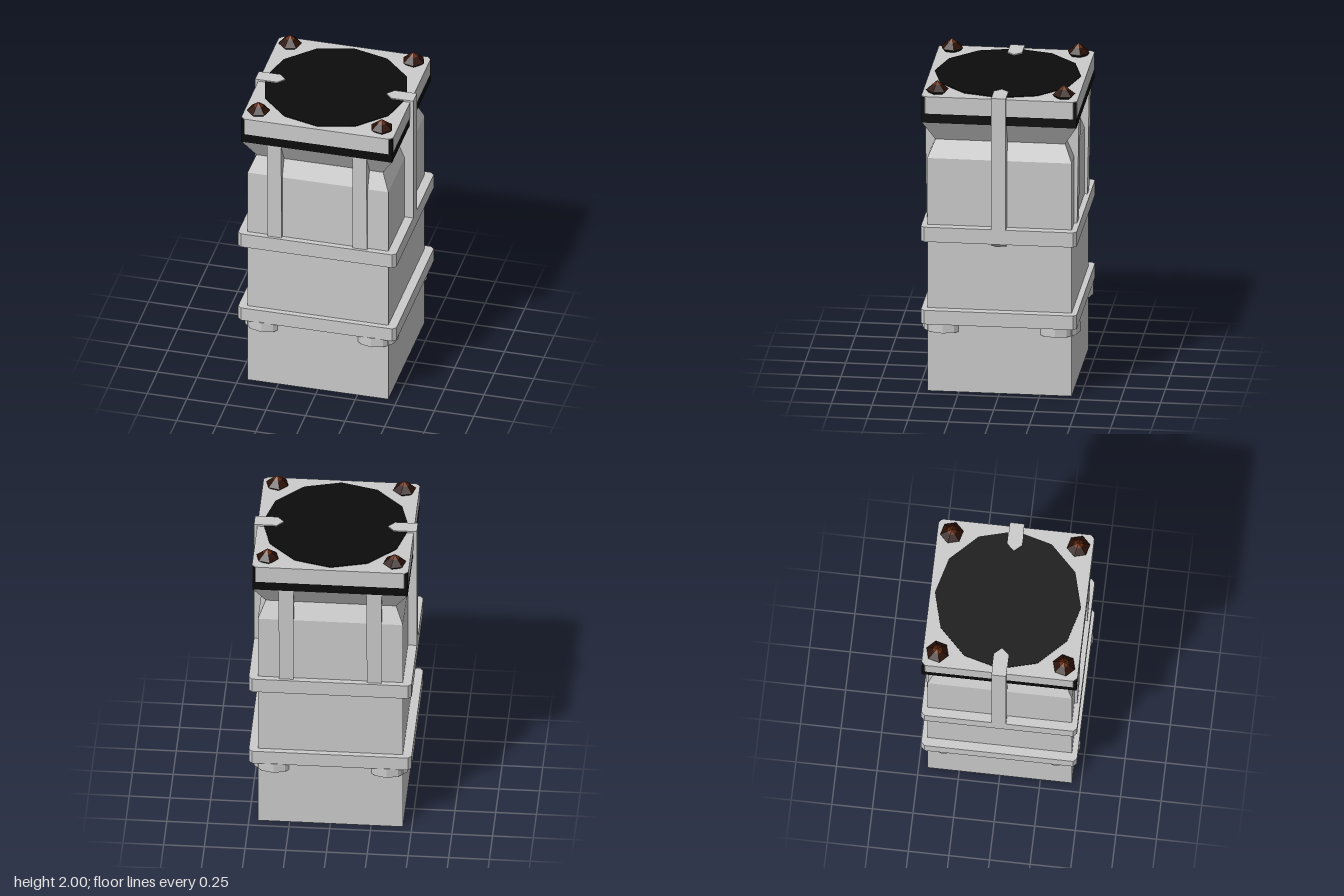
import * as THREE from 'three';

const mat = (color) => new THREE.MeshStandardMaterial({ color, flatShading: true });

export function createModel() {
  const group = new THREE.Group();
  const grey = mat(0xcccccc), black = mat(0x0c0c0c), brown = mat(0x2a1006), amber = mat(0x6a2c0c);

  const add = (name, geometry, material = grey, x = 0, y = 0, z = 0) => {
    const flat = geometry.index ? geometry.toNonIndexed() : geometry;
    flat.computeVertexNormals();
    const mesh = new THREE.Mesh(flat, material);
    mesh.name = name;
    mesh.position.set(x, y, z);
    group.add(mesh);
    return mesh;
  };
  const shapeOf = (points) => new THREE.Shape(points.map(([x, y]) => new THREE.Vector2(x, y)));
  const extrude = (points, depth) =>
    new THREE.ExtrudeGeometry(shapeOf(points), { depth, bevelEnabled: false });

  // Horizontal slab with chamfered corners, from y0 to y1
  const slab = (name, hx, hz, c, y0, y1) => {
    const g = extrude([
      [-hx + c, -hz], [hx - c, -hz], [hx, -hz + c], [hx, hz - c],
      [hx - c, hz], [-hx + c, hz], [-hx, hz - c], [-hx, -hz + c],
    ], y1 - y0);
    g.rotateX(-Math.PI / 2);
    return add(name, g, grey, 0, y0);
  };

  // Square hollow-bottomed body with a pinched neck and flared collar
  const profile = [[0, 0.39], [0.443, 0.39], [0.443, 0], [0.445, 0], [0.445, 1.51],
    [0.4, 1.62], [0.475, 1.75], [0, 1.75]]
    .map(([half, y]) => new THREE.Vector2(half * Math.SQRT2, y));
  add('body', new THREE.LatheGeometry(profile, 4, Math.PI / 4));

  // Two bands around the body
  slab('lowerBand', 0.5, 0.48, 0.022, 0.45, 0.54);
  slab('upperBand', 0.5, 0.48, 0.022, 0.985, 1.08);

  // Lid: black core, grey chamfered rim and black round cover
  add('lidCore', new THREE.BoxGeometry(0.954, 0.165, 0.954), black, 0, 1.8325, 0);
  slab('lidRim', 0.48, 0.48, 0.024, 1.81, 1.92);
  add('roundCover', new THREE.CylinderGeometry(0.45, 0.45, 0.02, 12), black, 0, 1.915, 0);

  for (const sx of [-1, 1]) {
    // Side strap: upright with a chamfered foot
    const strap = extrude([[0.39, 0.965], [0.475, 0.965], [0.5, 0.985], [0.5, 1.93],
      [0.44, 1.93], [0.44, 1.75], [0.39, 1.63]], 0.09);
    strap.translate(0, 0, -0.045);
    if (sx < 0) strap.rotateY(Math.PI);
    add('sideStrap', strap);

    // Pointed hook reaching over the lid
    const hook = extrude([[0.5, -0.045], [0.5, 0.045], [0.36, 0.045], [0.32, 0], [0.36, -0.045]], 0.025);
    hook.rotateX(-Math.PI / 2);
    if (sx < 0) hook.rotateY(Math.PI);
    add('strapHook', hook, grey, 0, 1.907, 0);

    for (const sz of [-1, 1]) {
      // Slightly leaning ribs on the front and back
      const rib = extrude([[0.39, 1.0], [0.462, 1.0], [0.474, 1.76], [0.43, 1.76], [0.38, 1.64]], 0.09);
      rib.translate(0, 0, -0.045);
      rib.rotateY(-sz * Math.PI / 2);
      add('rib', rib, grey, sx * 0.27, 0, 0);

      // Corner pads under the lower band
      add('cornerPad', new THREE.CylinderGeometry(0.14, 0.14, 0.065, 12), grey,
        sx * 0.347, 0.4225, sz * 0.347);

      // Corner studs: dark collar and two-tone six-sided point
      const x = sx * 0.39, z = sz * 0.39;
      const turn = sx * Math.PI / 12;
      const stud = [
        add('studCollar', new THREE.CylinderGeometry(0.072, 0.045, 0.025, 6), black, x, 1.9275, z),
        add('studPoint', new THREE.CylinderGeometry(0.03, 0.072, 0.035, 6), brown, x, 1.9575, z),
        add('studTip', new THREE.ConeGeometry(0.03, 0.025, 6), amber, x, 1.9875, z),
      ];
      for (const part of stud) part.rotation.y = turn;
    }
  }
  return group;
}
